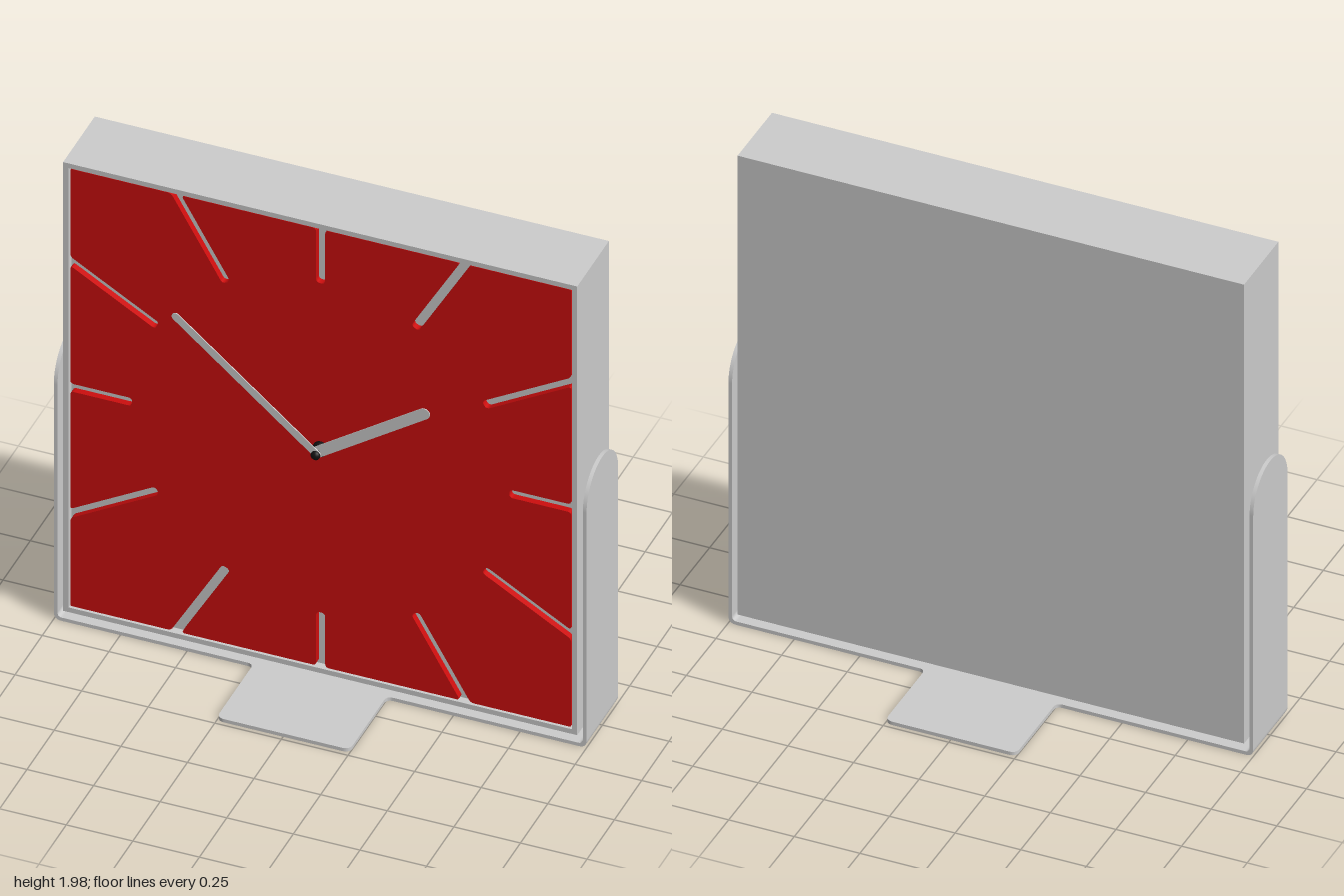
import * as THREE from 'three';

const grey = new THREE.MeshStandardMaterial({ color: 0xcccccc });
const red = new THREE.MeshStandardMaterial({ color: 0xcc0e0e });
const black = new THREE.MeshStandardMaterial({ color: 0x111111 });

const CY = 1.01;      // height of the dial centre
const HALF = 0.965;   // half width of the case
const DEPTH = 0.145;  // half depth of the case
const SHEET = 0.014;  // thickness of the stand's sheet metal

function add(parent, name, geometry, material, x = 0, y = 0, z = 0) {
  const mesh = new THREE.Mesh(geometry, material);
  mesh.name = name;
  mesh.position.set(x, y, z);
  parent.add(mesh);
  return mesh;
}

const extrude = (shape, depth) =>
  new THREE.ExtrudeGeometry(shape, { depth, bevelEnabled: false, curveSegments: 10 });

// Closed outline from corners [x, y, radius], each corner rounded
function roundedOutline(corners) {
  const shape = new THREE.Shape();
  const n = corners.length;
  corners.forEach(([x, y, r], i) => {
    const p = new THREE.Vector2(x, y);
    const toward = ([qx, qy]) =>
      new THREE.Vector2(qx, qy).sub(p).normalize().multiplyScalar(r).add(p);
    const a = toward(corners[(i + n - 1) % n]);
    const b = toward(corners[(i + 1) % n]);
    if (i === 0) shape.moveTo(a.x, a.y);
    else shape.lineTo(a.x, a.y);
    if (r > 0) shape.quadraticCurveTo(x, y, b.x, b.y);
  });
  shape.closePath();
  return shape;
}

// Square dial plate with twelve round-ended slots cut in from the edge
function dialShape() {
  const edge = 0.94, w = 0.017, tip = 0.708;
  const corners = [];
  for (let k = 0; k < 12; k++) {
    const a = k * Math.PI / 6, side = Math.round(k / 3) * Math.PI / 2;
    const d = new THREE.Vector2(Math.cos(a), Math.sin(a));
    const n = new THREE.Vector2(-d.y, d.x);
    const e = new THREE.Vector2(Math.cos(side), Math.sin(side));
    const at = (s, t) => [d.x * t + n.x * s * w, d.y * t + n.y * s * w];
    const mouth = s => at(s, (edge - s * w * n.dot(e)) / d.dot(e));
    corners.push([...mouth(-1), 0.015], [...at(-1, tip), w * 0.95],
      [...at(1, tip), w * 0.95], [...mouth(1), 0.015]);
    if (k % 3 === 1) {
      corners.push([edge * Math.sign(d.x), edge * Math.sign(d.y), 0.008]);
    }
  }
  return roundedOutline(corners);
}

// Flat hand with round ends, pointing along +x from its pivot
function handShape(length, w) {
  const s = new THREE.Shape();
  s.absarc(0, 0, w, Math.PI / 2, Math.PI * 1.5, false);
  s.absarc(length - w, 0, w, -Math.PI / 2, Math.PI / 2, false);
  s.closePath();
  return s;
}

function buildClock() {
  const clock = new THREE.Group();
  clock.name = 'clockCase';
  clock.position.y = CY;

  // Case with a shallow rim around the dial
  const floor = 0.115;
  add(clock, 'caseBody', new THREE.BoxGeometry(HALF * 2, HALF * 2, floor + DEPTH), grey,
    0, 0, (floor - DEPTH) / 2);
  const square = h => [[-h, -h, 0], [h, -h, 0], [h, h, 0], [-h, h, 0]];
  const rim = roundedOutline(square(HALF));
  rim.holes.push(roundedOutline(square(0.945)));
  add(clock, 'caseRim', extrude(rim, DEPTH - floor), grey, 0, 0, floor);
  add(clock, 'dialPlate', extrude(dialShape(), 0.025), red, 0, 0, floor);

  // Hands
  const hour = add(clock, 'hourHand', extrude(handShape(0.505, 0.022), 0.004), grey, 0, 0, 0.163);
  hour.rotation.z = Math.atan2(0.275, 0.4);
  const minute = add(clock, 'minuteHand', extrude(handShape(0.705, 0.015), 0.004), grey, 0, 0, 0.177);
  minute.rotation.z = Math.atan2(0.45, -0.535);

  // Hub: flange, spindle and cap turned as one profile
  const profile = [[0, 0.138], [0.028, 0.138], [0.028, 0.156], [0.009, 0.157], [0.009, 0.183],
    [0.017, 0.185], [0.017, 0.193], [0.008, 0.2], [0, 0.2]].map(p => new THREE.Vector2(...p));
  const hub = new THREE.LatheGeometry(profile, 24);
  hub.rotateX(Math.PI / 2);
  add(clock, 'handHub', hub, black);
  return clock;
}

function buildStand() {
  const stand = new THREE.Group();
  stand.name = 'stand';

  // U-shaped strap under and beside the case
  const i = 1 - SHEET;
  const strap = roundedOutline([[-1, 0, 0.03], [1, 0, 0.03], [1, CY, 0], [i, CY, 0],
    [i, SHEET, 0.018], [-i, SHEET, 0.018], [-i, CY, 0], [-1, CY, 0]]);
  add(stand, 'strap', extrude(strap, DEPTH * 2), grey, 0, 0, -DEPTH);

  for (const s of [-1, 1]) {
    const side = s > 0 ? 'left' : 'right';
    // Rounded top of the side arm
    const top = new THREE.CylinderGeometry(DEPTH, DEPTH, SHEET, 32, 1, false, 0, Math.PI);
    top.rotateZ(Math.PI / 2);
    add(stand, side + 'ArmTop', top, grey, s * (1 - SHEET / 2), CY, 0);
    // Pivot spacer between arm and case
    const pivot = new THREE.CylinderGeometry(0.05, 0.05, i - HALF, 32);
    pivot.rotateZ(Math.PI / 2);
    add(stand, side + 'Pivot', pivot, grey, s * (i + HALF) / 2, CY, 0);

    // Foot with filleted root and rounded outer corners
    const w = 0.25, f = 0.025;
    const foot = roundedOutline([[-w - f, DEPTH, 0], [w + f, DEPTH, 0], [w, DEPTH, f],
      [w, 0.484, 0.03], [-w, 0.484, 0.03], [-w, DEPTH, f]]);
    const geometry = extrude(foot, SHEET);
    geometry.rotateX(s * Math.PI / 2);
    add(stand, s > 0 ? 'frontFoot' : 'backFoot', geometry, grey, 0, s > 0 ? SHEET : 0, 0);
  }
  return stand;
}

export function createModel() {
  const model = new THREE.Group();
  model.name = 'deskClock';
  model.add(buildClock(), buildStand());
  return model;
}
